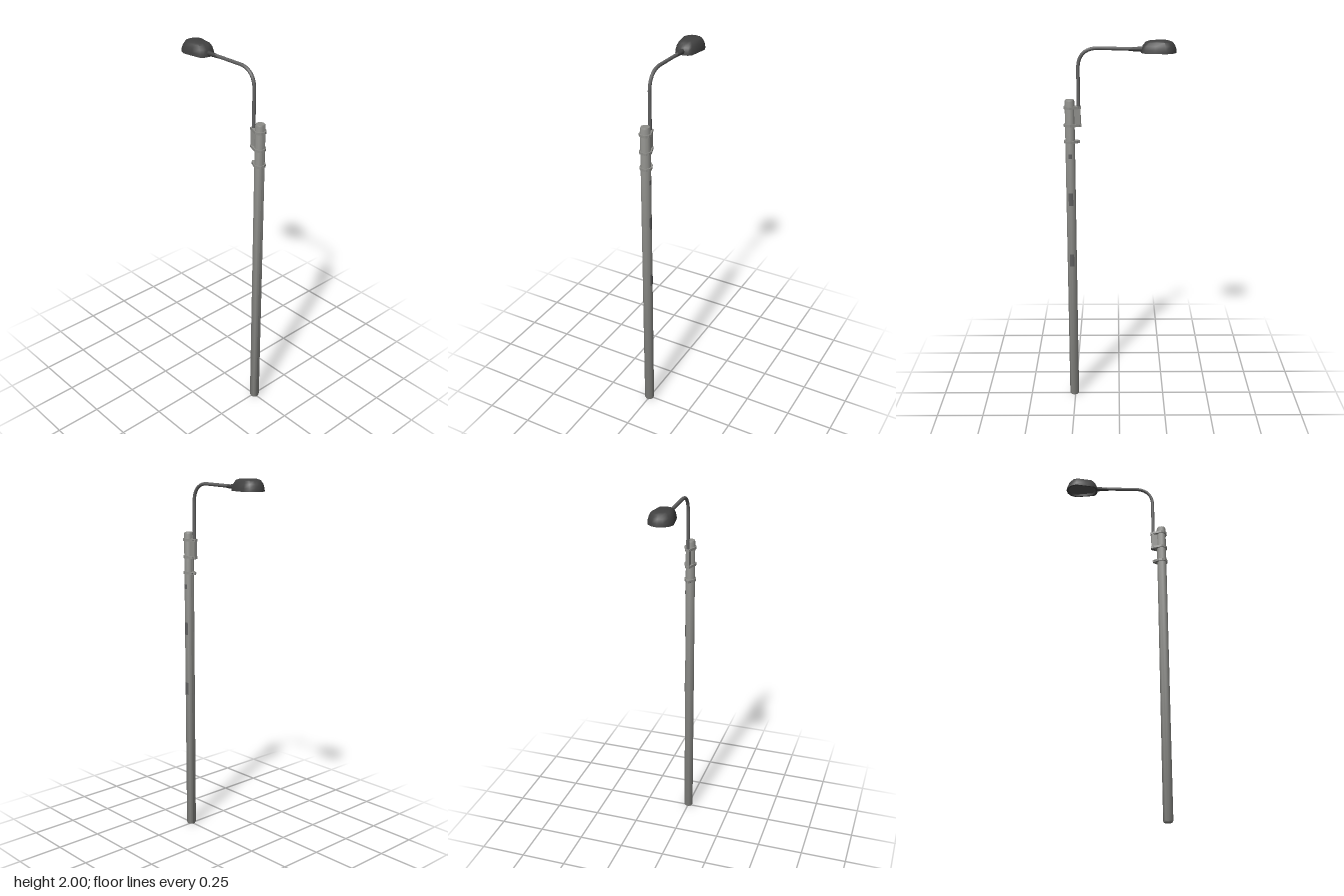
import * as THREE from 'three';
import { toCreasedNormals } from 'three/addons/utils/BufferGeometryUtils.js';

const POLE_X = 0.256;
const POLE_R = 0.026;

function material(name, color) {
  const m = new THREE.MeshStandardMaterial({ color });
  m.name = name;
  return m;
}

// Skin a stack of horizontal rings: each ring is [scale, y] applied to an outline of [x, z]
function loft(outline, rings, centreX) {
  const pos = [], index = [], n = outline.length;
  for (const [s, y] of rings) {
    for (const [x, z] of outline) pos.push(centreX + (x - centreX) * s, y, z * s);
  }
  for (let r = 0; r < rings.length - 1; r++) {
    for (let i = 0; i < n; i++) {
      const a = r * n + i, b = r * n + (i + 1) % n, c = a + n, d = b + n;
      index.push(a, c, b, b, c, d);
    }
  }
  const g = new THREE.BufferGeometry();
  g.setAttribute('position', new THREE.Float32BufferAttribute(pos, 3));
  g.setIndex(index);
  return toCreasedNormals(g, 0.7);
}

export function createModel() {
  const model = new THREE.Group();
  model.name = 'streetLamp';
  const concrete = material('concrete', 0x8e8e8a);
  const steel = material('steel', 0x626262);
  const darkMetal = material('dark metal', 0x414141);
  const paper = material('weathered notice', 0x5e5e5e);
  const glass = material('lamp glass', 0x565656);

  const add = (name, geometry, mat, x = 0, y = 0, z = 0) => {
    const mesh = new THREE.Mesh(geometry, mat);
    mesh.name = name;
    mesh.position.set(x, y, z);
    model.add(mesh);
    return mesh;
  };

  // Concrete pole with softened ends
  const profile = [[0, 0], [0.022, 0], [POLE_R, 0.008], [POLE_R, 1.692], [0.023, 1.7], [0, 1.7]]
    .map(([x, y]) => new THREE.Vector2(x, y));
  add('pole', toCreasedNormals(new THREE.LatheGeometry(profile, 10), 0.8), concrete, POLE_X);

  // Arm: upright, bend, then nearly level to the lamp
  const path = new THREE.CurvePath();
  const v = (x, y) => new THREE.Vector3(x, y, 0);
  path.add(new THREE.LineCurve3(v(0.21, 1.56), v(0.21, 1.86)));
  path.add(new THREE.CubicBezierCurve3(v(0.21, 1.86), v(0.21, 1.925), v(0.175, 1.962), v(0.11, 1.962)));
  path.add(new THREE.LineCurve3(v(0.11, 1.962), v(-0.13, 1.957)));
  add('arm', new THREE.TubeGeometry(path, 48, 0.009, 8, false), steel);
  const foot = add('armFoot', new THREE.CylinderGeometry(0.009, 0.009, 0.004, 8), steel, 0.21, 1.56, 0);
  foot.rotation.y = Math.PI / 8;

  // Sleeve where the arm enters the lamp
  const sleeve = add('lampSleeve', new THREE.CylinderGeometry(0.009, 0.014, 0.075, 8), darkMetal, -0.085, 1.957, 0);
  sleeve.rotation.z = -Math.PI / 2;

  // Mounting plate between arm and pole
  add('mountingPlate', new THREE.BoxGeometry(0.034, 0.105, 0.018), concrete, 0.216, 1.614, 0);

  // Teardrop clamps round the pole, drawn out to a nose on the arm side
  const clampGeometry = (noseX, noseWidth, height) => {
    const s = new THREE.Shape();
    const r = 0.032;
    s.moveTo(noseX - POLE_X, noseWidth);
    s.lineTo(noseX - POLE_X, -noseWidth);
    for (let i = 0; i <= 8; i++) {
      const t = -2.2 + 4.4 * i / 8;
      s.lineTo(r * Math.cos(t), r * Math.sin(t));
    }
    s.closePath();
    const g = new THREE.ExtrudeGeometry(s, { depth: height, bevelEnabled: false });
    g.translate(0, 0, -height / 2);
    g.rotateX(-Math.PI / 2);
    return g;
  };
  const clamps = [[1.66, 0.196, 0.01, 0.013], [1.567, 0.196, 0.01, 0.013], [1.48, 0.205, 0.004, 0.014]];
  for (const [y, noseX, width, height] of clamps) {
    add('clamp', clampGeometry(noseX, width, height), concrete, POLE_X, y, 0);
    // Closing bolt across the nose
    const bolt = add('clampBolt', new THREE.CylinderGeometry(0.004, 0.004, 0.03, 6), steel, noseX + 0.012, y, 0);
    bolt.rotation.x = Math.PI / 2;
  }

  // Lamp head: rounded nose, tapering towards the arm
  const half = [[-0.111, 0.012], [-0.116, 0.032], [-0.13, 0.047], [-0.18, 0.056],
    [-0.235, 0.065], [-0.265, 0.053], [-0.284, 0.028]];
  const outline = [[-0.109, 0], ...half, [-0.291, 0], ...half.slice().reverse().map(([x, z]) => [x, -z])];
  const cx = -0.205;
  add('lampHood', loft(outline, [[0.84, 1.955], [0.88, 1.94], [1, 1.94], [0.98, 1.956],
    [0.9, 1.976], [0.76, 1.993], [0.55, 2], [0, 2]], cx), darkMetal);
  add('lampLens', loft(outline, [[0, 1.948], [0.87, 1.953]], cx), glass);

  // Notices pasted on the rear of the pole
  for (const [y, width, height] of [[1.405, 0.018, 0.025], [1.17, 0.024, 0.07], [0.825, 0.024, 0.07]]) {
    const arc = width / POLE_R;
    const g = new THREE.CylinderGeometry(POLE_R + 0.001, POLE_R + 0.001, height, 6, 1, true, Math.PI - arc / 2, arc);
    const notice = add('notice', g, paper, POLE_X, y, 0);
    notice.material.side = THREE.DoubleSide;
  }
  return model;
}
